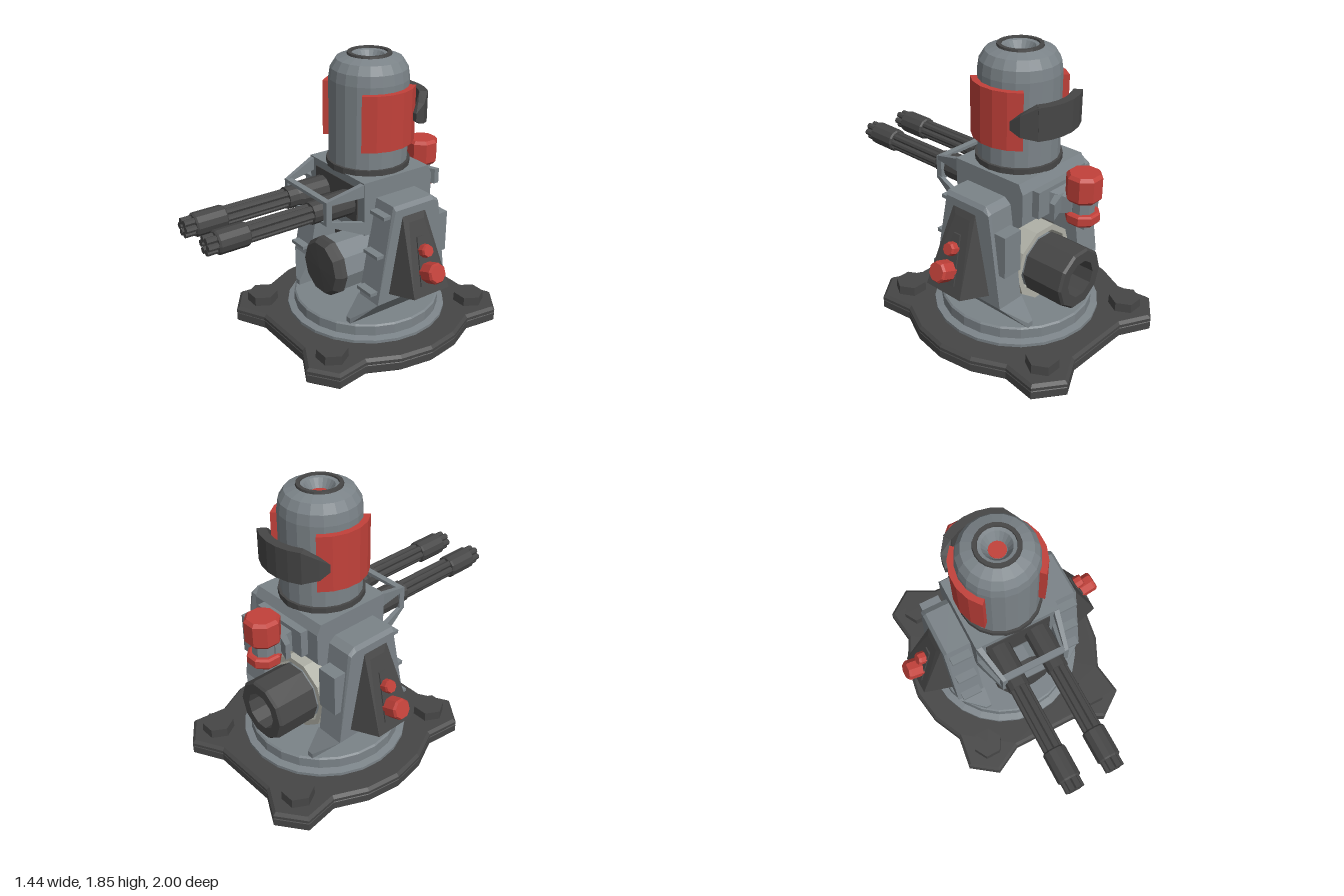
import * as THREE from 'three';
import { ConvexGeometry } from 'three/addons/geometries/ConvexGeometry.js';

const CZ = -0.235; // z of the turret axis

export function createModel() {
  const root = new THREE.Group();
  root.name = 'turret';
  const mat = (name, color) => {
    const m = new THREE.MeshStandardMaterial({ color, flatShading: true });
    m.name = name;
    return m;
  };
  const steel = mat('steel grey', 0x7b8388);
  const dark = mat('dark grey', 0x464646);
  const red = mat('red', 0xc2413a);
  const cream = mat('pale grey', 0xb0b1a7);

  const add = (name, geo, m, x = 0, y = 0, z = 0) => {
    const mesh = new THREE.Mesh(geo, m);
    mesh.name = name;
    mesh.position.set(x, y, z);
    root.add(mesh);
    return mesh;
  };
  // box given by its limits
  const box = (name, m, x0, x1, y0, y1, z0, z1) =>
    add(name, new THREE.BoxGeometry(Math.abs(x1 - x0), y1 - y0, Math.abs(z1 - z0)), m,
      (x0 + x1) / 2, (y0 + y1) / 2, (z0 + z1) / 2);
  // convex solid from corners, mirrored by s
  const hull = (name, m, s, pts) =>
    add(name, new ConvexGeometry(pts.map(([x, y, z]) => new THREE.Vector3(s * x, y, z))), m);
  const lathe = (pts, n) => new THREE.LatheGeometry(pts.map(p => new THREE.Vector2(...p)), n);
  // lathe turned so its axis runs along +z, with corners to the left and right
  const latheZ = (pts, n) => lathe(pts, n).rotateX(Math.PI / 2).rotateZ(Math.PI / 2);
  // curved plate round the turret axis; angles counted from +x, positive towards the back
  const arcPlate = (name, m, r0, r1, a0, a1, y0, y1) => {
    const shape = new THREE.Shape(), n = 5;
    for (let i = 0; i <= n; i++) {
      const a = a0 + (a1 - a0) * i / n;
      shape[i ? 'lineTo' : 'moveTo'](r1 * Math.cos(a), r1 * Math.sin(a));
    }
    for (let i = n; i >= 0; i--) {
      const a = a0 + (a1 - a0) * i / n;
      shape.lineTo(r0 * Math.cos(a), r0 * Math.sin(a));
    }
    const g = new THREE.ExtrudeGeometry(shape, { depth: y1 - y0, bevelEnabled: false });
    return add(name, g.rotateX(-Math.PI / 2), m, 0, y0, CZ);
  };

  // base plate with four ears: one quarter outline mirrored twice
  const q = [[0.69, 0], [0.655, 0.22], [0.56, 0.42], [0.59, 0.64], [0.42, 0.765], [0.23, 0.665]];
  const outline = [
    ...q,
    ...[...q].reverse().map(([x, z]) => [-x, z]),
    ...q.slice(1).map(([x, z]) => [-x, -z]),
    ...q.slice(1).reverse().map(([x, z]) => [x, -z]),
  ].map(p => new THREE.Vector2(...p));
  const slab = (name, shape, y0, y1, bevel) => {
    const g = new THREE.ExtrudeGeometry(shape, {
      depth: y1 - y0 - 2 * bevel, bevelThickness: bevel, bevelSize: bevel,
      bevelOffset: 0.004 - bevel, bevelSegments: 1,
    });
    add(name, g.rotateX(-Math.PI / 2), dark, 0, y0 + bevel, CZ);
  };
  // hollow underside: a rim below the top plate and a round hub inside it
  const rim = new THREE.Shape(outline);
  rim.holes.push(new THREE.Path(outline.map(p => p.clone().multiplyScalar(0.94))));
  slab('baseRim', rim, 0, 0.08, 0.015);
  slab('basePlate', new THREE.Shape(outline), 0.055, 0.11, 0.018);
  add('baseHub', new THREE.CylinderGeometry(0.585, 0.585, 0.05, 24), dark, 0, 0.045, CZ);
  for (const sx of [1, -1]) for (const sz of [1, -1])
    add('bolt', new THREE.CylinderGeometry(0.1, 0.106, 0.155, 6).rotateY(Math.PI / 6), dark,
      sx * 0.41, 0.0925, CZ + sz * 0.57);
  add('turntable', lathe([[0.53, 0.1], [0.53, 0.13], [0.485, 0.14], [0.485, 0.205],
    [0.475, 0.215], [0, 0.215]], 24), steel, 0, 0, CZ);

  for (const s of [1, -1]) {
    // support column: tapered upper part, flared foot
    const side = (x, list) => list.map(([y, z]) => [x, y, z]);
    const mid = [[0.39, 0.03], [0.39, -0.515]];
    const foot = [[0.25, 0.125], [0.25, -0.605], [0.215, 0.125], [0.215, -0.605]];
    const head = [[0.99, -0.43], [1.025, -0.385], [1.025, -0.085]];
    hull('column', steel, s, [
      ...side(0.28, [...mid, ...head]), ...side(0.465, mid),
      ...side(0.465, [[0.98, -0.425], [1.0, -0.385], [1.0, -0.09]]),
      ...side(0.445, head),
    ]);
    hull('columnFoot', steel, s, [
      ...side(0.27, [...mid, ...foot]), ...side(0.465, mid), ...side(0.31, foot),
    ]);
    // small ribs on the column front
    for (const y of [0.957, 0.706, 0.463]) {
      const z = -0.085 + (1.03 - y) * 0.183;
      box('columnRib', steel, s * 0.305, s * 0.44, y - 0.011, y + 0.011, z - 0.05, z + 0.05);
    }
    box('columnBackBlock', steel, s * 0.305, s * 0.44, 0.6, 0.87, -0.53, -0.4);

    // side wedge with its framed panel
    hull('sideWedge', dark, s, [
      [0.46, 0.96, -0.145], [0.46, 0.96, -0.32], [0.46, 0.445, -0.055], [0.46, 0.445, -0.43],
      [0.485, 0.91, -0.18], [0.485, 0.91, -0.295], [0.655, 0.48, -0.1], [0.655, 0.48, -0.375],
    ]);
    hull('wedgePanel', dark, s, [
      [0.52, 0.82, -0.21], [0.52, 0.82, -0.26], [0.63, 0.54, -0.165], [0.63, 0.54, -0.31],
      [0.53, 0.82, -0.21], [0.53, 0.82, -0.26], [0.64, 0.54, -0.165], [0.64, 0.54, -0.31],
    ]);
    // red canisters standing square to the wedge face
    for (const [x, y, r, len] of [[0.645, 0.62, 0.066, 0.125], [0.572, 0.74, 0.042, 0.08]]) {
      const h = len / 2;
      const g = lathe([[0, -h], [r * 0.85, -h], [r, -h + 0.015], [r, h - 0.015],
        [r * 0.85, h], [0, h]], 8).rotateY(Math.PI / 8);
      add('canister', g, red, s * x, y, -0.237).rotation.z = -s * 1.23;
    }

    // gun shroud: tapered upper and lower struts with a front post
    const strut = (name, a, b, c, d) => hull(name, steel, s, [
      [0.285, a, 0], [0.285, b, 0], [0.25, a, 0], [0.25, b, 0],
      [0.225, c, 0.245], [0.225, d, 0.245], [0.2, c, 0.245], [0.2, d, 0.245],
    ]);
    strut('upperStrut', 1.135, 1.05, 1.055, 1.03);
    strut('lowerStrut', 0.795, 0.88, 0.9, 0.925);
    box('shroudPost', steel, s * 0.195, s * 0.228, 0.9, 1.055, 0.205, 0.245);

    // rotary gun: hub, six barrels round a core, muzzle sleeve
    const gx = s * 0.134 - 0.008, gy = 0.965;
    add('gunHub', latheZ([[0, 0], [0.083, 0], [0.083, 0.2], [0.07, 0.23], [0.07, 0.3], [0, 0.3]], 12),
      dark, gx, gy, 0);
    add('gunCore', new THREE.CylinderGeometry(0.03, 0.03, 0.7, 8).rotateX(Math.PI / 2), dark, gx, gy, 0.63);
    for (let i = 0; i < 6; i++) {
      const a = i * Math.PI / 3;
      add('gunBarrel', new THREE.CylinderGeometry(0.021, 0.021, 0.75, 8).rotateX(Math.PI / 2),
        dark, gx + 0.041 * Math.cos(a), gy + 0.041 * Math.sin(a), 0.625);
    }
    add('muzzleSleeve', latheZ([[0, 0.73], [0.065, 0.73], [0.074, 0.74], [0.074, 0.925],
      [0.065, 0.935], [0, 0.935]], 12), dark, gx, gy, 0);

    // red side panel on the tower
    const mid0 = s > 0 ? 0 : Math.PI;
    arcPlate('towerPanel', red, 0.238, 0.287, mid0 - 0.8, mid0 + 0.8, 1.3, 1.65);

    // tapered end of the curved rear guard
    hull('rearGuardEnd', dark, s, [
      ...[1.39, 1.59].flatMap(y => [[0.19, y, -0.546], [0.165, y, -0.5]]),
      ...[1.41, 1.54].flatMap(y => [[0.255, y, -0.465], [0.225, y, -0.44]]),
      ...[1.44, 1.49].flatMap(y => [[0.265, y, -0.395], [0.235, y, -0.395]]),
    ]);
    // swept wing of the rear bracket
    hull('bracketWing', steel, s, [0.94, 1.04].flatMap(y =>
      [[0.04, y, -0.57], [0.04, y, -0.62], [0.19, y, -0.64], [0.19, y, -0.675]]));
  }

  // gun housing between the columns
  hull('housing', steel, 1, [1, -1].flatMap(s => [
    [s * 0.285, 1.14, 0.01], [s * 0.285, 0.79, 0], [s * 0.285, 1.14, -0.49],
    [s * 0.285, 1.08, -0.52], [s * 0.285, 0.88, -0.52], [s * 0.285, 0.79, -0.42],
  ]));
  box('housingFace', dark, -0.22, 0.22, 0.855, 1.09, 0.006, 0.014);
  box('shroudTopBar', steel, -0.225, 0.225, 1.035, 1.056, 0.205, 0.245);
  box('shroudBottomBar', steel, -0.225, 0.225, 0.9, 0.918, 0.205, 0.245);

  // tower
  add('towerCollar', new THREE.CylinderGeometry(0.264, 0.264, 0.04, 20), dark, 0, 1.155, CZ);
  add('tower', lathe([[0.248, 1.15], [0.248, 1.69], [0.238, 1.755], [0.205, 1.808],
    [0.13, 1.835]], 20), steel, 0, 0, CZ);
  add('towerTopRing', lathe([[0.14, 1.825], [0.135, 1.845], [0.112, 1.845], [0.108, 1.82]], 20), dark, 0, 0, CZ);
  add('towerDish', lathe([[0.112, 1.835], [0.09, 1.83], [0.055, 1.775], [0, 1.775]], 20), steel, 0, 0, CZ);
  add('towerLamp', new THREE.CylinderGeometry(0.053, 0.053, 0.008, 16), red, 0, 1.778, CZ);

  // curved guard behind the tower
  const back = Math.PI / 2;
  arcPlate('rearGuard', dark, 0.31, 0.365, back - 0.56, back + 0.56, 1.39, 1.59);

  // rear bracket and red post
  box('bracketPlate', steel, -0.2, 0.2, 0.91, 1.08, -0.57, -0.5);
  hull('bracketArm', steel, 1, [1, -1].flatMap(s => [
    [s * 0.12, 1.06, -0.55], [s * 0.12, 0.91, -0.55],
    [s * 0.07 - 0.03, 1.02, -0.68], [s * 0.07 - 0.03, 0.93, -0.68],
  ]));
  const post = [-0.03, 0, -0.71];
  const postPart = (name, pts, m) => add(name, lathe(pts, 8).rotateY(Math.PI / 8), m, ...post);
  postPart('postTop', [[0, 1.01], [0.09, 1.01], [0.108, 1.03], [0.108, 1.16], [0.09, 1.18], [0, 1.18]], red);
  postPart('postNeck', [[0.07, 0.92], [0.07, 1.02]], steel);
  postPart('postBottom', [[0, 0.865], [0.09, 0.865], [0.104, 0.88], [0.104, 0.925], [0.09, 0.935], [0, 0.935]], red);

  // lower drum: closed front cap, middle band, hollow rear, ring and axle
  const drumY = 0.48;
  add('drumCap', latheZ([[0.185, 0.06], [0.2, 0.065], [0.2, 0.1], [0.172, 0.14], [0, 0.145]], 10),
    dark, 0, drumY, 0);
  add('drumBody', latheZ([[0.185, -0.5], [0.19, 0.07]], 10), steel, 0, drumY, 0);
  add('drumRear', latheZ([[0, -0.6], [0.12, -0.6], [0.12, -0.745], [0.185, -0.745],
    [0.197, -0.73], [0.197, -0.46], [0.17, -0.46]], 10), dark, 0, drumY, 0);
  add('drumRing', latheZ([[0.212, -0.46], [0.247, -0.46], [0.247, -0.22], [0.212, -0.22],
    [0.212, -0.46]], 10), cream, 0, drumY, 0);
  for (const s of [1, -1]) box('axle', dark, s * 0.225, s * 0.3, 0.5, 0.575, -0.3, -0.18);

  return root;
}
